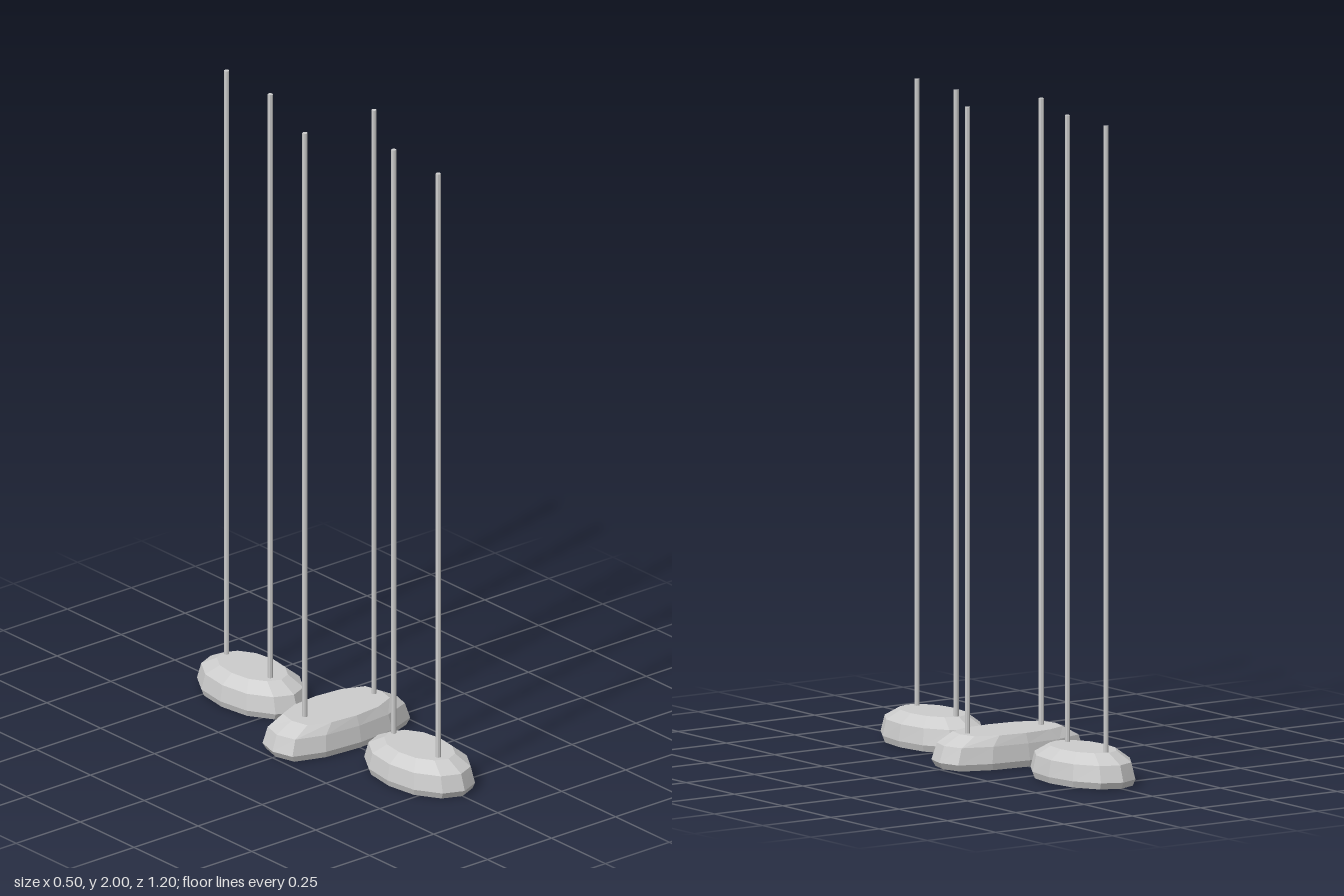
import * as THREE from 'three';

const material = new THREE.MeshStandardMaterial({ color: 0xcccccc, flatShading: true });

// Twelve-sided outline mirrored from one quarter, as [x, z] fractions
function outline(quarter) {
  const back = quarter.map(([x, z]) => [x, -z]).reverse().slice(1);
  const right = [...quarter, ...back];
  const left = right.slice(1, -1).map(([x, z]) => [-x, z]).reverse();
  return [...right, ...left];
}

// Faceted pad: rings from the recessed underside, over the rim, to the flat top
function padGeometry(halfX, halfZ, quarter, topX, topZ) {
  const rings = [
    [0, 0, 0.035], [0.87, 0.87, 0.035], [0.89, 0.89, 0], [0.95, 0.95, 0],
    [1, 1, 0.02], [0.93, 0.92, 0.07], [topX, topZ, 0.1], [0, 0, 0.1],
  ];
  const points = outline(quarter);
  const n = points.length;
  const positions = [];
  const indices = [];
  for (const [sx, sz, y] of rings) {
    for (const [x, z] of points) positions.push(x * sx * halfX, y, z * sz * halfZ);
  }
  for (let i = 0; i < rings.length - 1; i++) {
    for (let j = 0; j < n; j++) {
      const k = (j + 1) % n;
      const a = i * n + j, b = i * n + k, c = b + n, d = a + n;
      if (i > 0) indices.push(a, b, c);
      if (i === 0) indices.push(a, c, d);
      else if (i < rings.length - 2) indices.push(a, c, d);
    }
  }
  const geometry = new THREE.BufferGeometry();
  geometry.setAttribute('position', new THREE.Float32BufferAttribute(positions, 3));
  geometry.setIndex(indices);
  const flat = geometry.toNonIndexed();
  flat.computeVertexNormals();
  return flat;
}

export function createModel() {
  const model = new THREE.Group();
  model.name = 'hangingPads';

  const oval = [[0, 1], [0.5, 0.87], [0.88, 0.5], [1, 0]];
  const boxyOval = [[0, 1], [0.52, 0.91], [0.92, 0.6], [1, 0]];
  const endPad = padGeometry(0.126, 0.21, oval, 0.64, 0.64);
  const middlePad = padGeometry(0.25, 0.116, boxyOval, 0.7, 0.82);

  // Each pad with the x, z positions of its two rods
  const units = [
    ['front', endPad, 0.387, [[0, 0.267], [-0.014, 0.49]]],
    ['middle', middlePad, 0, [[-0.123, 0], [0.147, 0]]],
    ['back', endPad, -0.39, [[0, -0.51], [-0.014, -0.29]]],
  ];

  const rodBottom = 0.09;
  const rodLength = 2 - rodBottom;
  const rodGeometry = new THREE.CylinderGeometry(0.008, 0.008, rodLength, 8);

  for (const [name, geometry, z, rods] of units) {
    const unit = new THREE.Group();
    unit.name = name + 'Unit';
    const pad = new THREE.Mesh(geometry, material);
    pad.name = name + 'Pad';
    pad.position.z = z;
    unit.add(pad);
    rods.forEach(([rx, rz], i) => {
      const rod = new THREE.Mesh(rodGeometry, material);
      rod.name = name + 'Rod' + (i + 1);
      rod.position.set(rx, rodBottom + rodLength / 2, rz);
      unit.add(rod);
    });
    model.add(unit);
  }
  return model;
}
